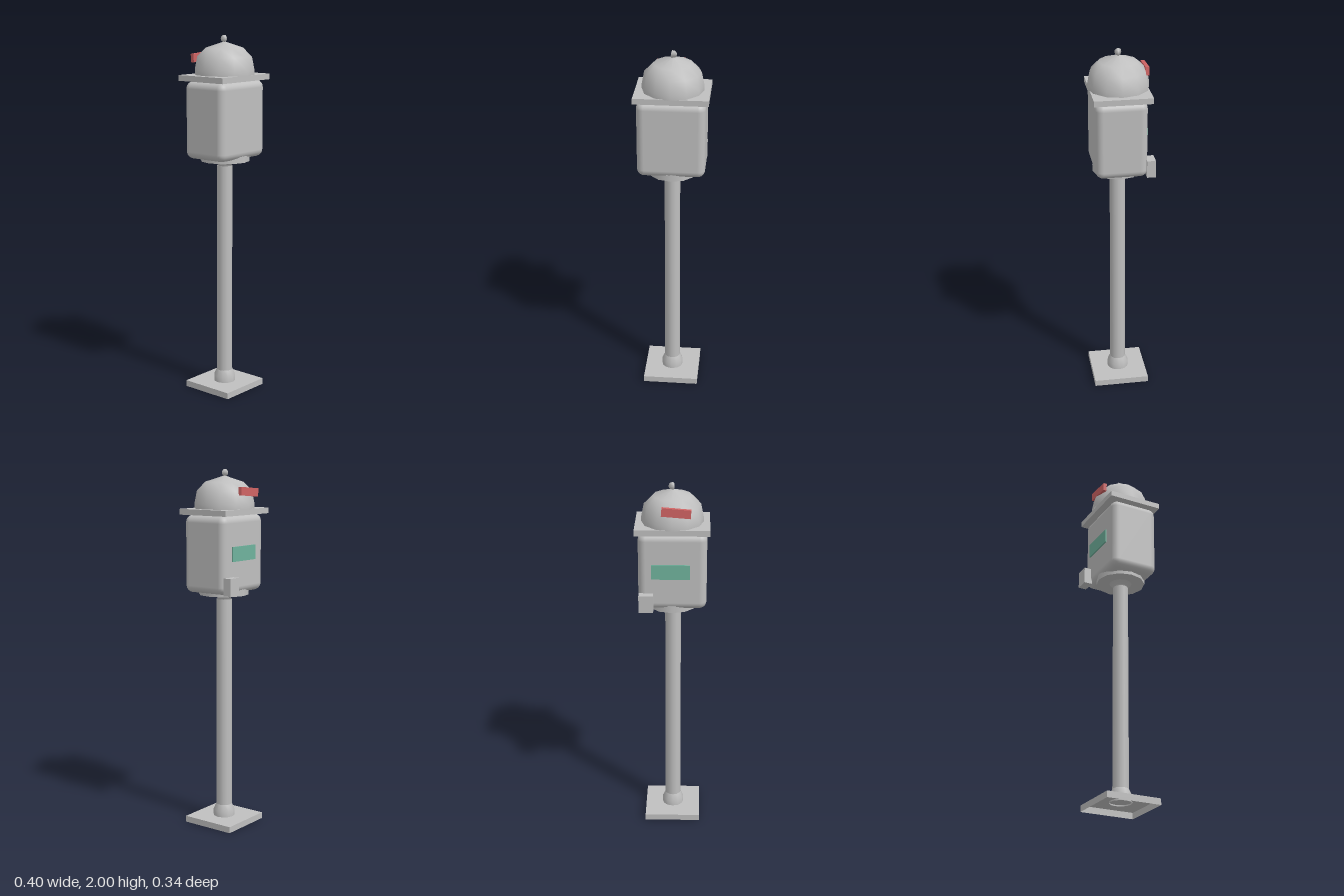
import * as THREE from 'three';
import { RoundedBoxGeometry } from 'three/addons/geometries/RoundedBoxGeometry.js';

export function createModel() {
  const root = new THREE.Group();
  root.name = 'parkingMeter';

  const grey = new THREE.MeshStandardMaterial({ color: 0xbfbfbf, side: THREE.DoubleSide });
  grey.name = 'grey metal';
  const red = new THREE.MeshStandardMaterial({ color: 0xd06464 });
  red.name = 'red plastic';
  const green = new THREE.MeshStandardMaterial({ color: 0x70b39d });
  green.name = 'green screen';

  function add(name, geometry, material, x, y, z) {
    const mesh = new THREE.Mesh(geometry, material);
    mesh.name = name;
    mesh.position.set(x, y, z);
    root.add(mesh);
    return mesh;
  }

  // Box given by its limits on each axis
  function addBox(name, material, [x0, x1], [y0, y1], [z0, z1]) {
    return add(name, new THREE.BoxGeometry(x1 - x0, y1 - y0, z1 - z0), material,
      (x0 + x1) / 2, (y0 + y1) / 2, (z0 + z1) / 2);
  }

  // Turned part from [radius, height] pairs, listed from bottom to top
  function addTurned(name, profile, sides, x, z) {
    const points = profile.map(([r, y]) => new THREE.Vector2(r, y));
    return add(name, new THREE.LatheGeometry(points, sides), grey, x, 0, z);
  }

  // Hollow foot plate, open underneath
  const foot = addBox('footPlate', grey, [-0.158, 0.154], [0.002, 0.037], [-0.15, 0.162]);
  const index = Array.from(foot.geometry.index.array);
  index.splice(18, 6);
  foot.geometry.setIndex(index);
  foot.geometry.clearGroups();

  // Pole with its socket and neck
  const px = -0.003, pz = 0.007;
  addTurned('poleSocket', [[0.061, 0.03], [0.061, 0.07], [0.045, 0.105]], 12, px, pz);
  addTurned('pole', [[0.044, 0.07], [0.043, 1.29]], 12, px, pz);
  addTurned('poleNeck', [[0.035, 1.285], [0.04, 1.3], [0.066, 1.318]], 12, px, pz);
  add('collar', new THREE.CylinderGeometry(0.137, 0.137, 0.035, 12), grey, 0, 1.334, 0.008);

  // Rounded housing and square lid
  add('housing', new RoundedBoxGeometry(0.365, 0.422, 0.277, 3, 0.04), grey, -0.002, 1.546, 0.008);
  addBox('lid', grey, [-0.199, 0.197], [1.758, 1.789], [-0.153, 0.159]);

  // Twelve-sided dome with a small knob
  addTurned('dome',
    [[0.165, 1.787], [0.165, 1.815], [0.151, 1.885], [0.104, 1.932], [0, 1.966]], 12, 0, 0.003);
  add('knobStem', new THREE.CylinderGeometry(0.008, 0.011, 0.03, 3), grey, 0, 1.963, 0.003);
  const knob = add('knob', new THREE.SphereGeometry(0.021, 3, 6), grey, 0, 1.98, 0.003);
  knob.rotation.y = Math.PI;

  // Fittings on the back
  const flag = addBox('flag', red, [-0.099, 0.055], [1.858, 1.903], [-0.153, -0.133]);
  flag.rotation.z = 0.08;
  addBox('screen', green, [-0.096, 0.11], [1.512, 1.592], [-0.138, -0.13]);
  addBox('lockBox', grey, [0.099, 0.177], [1.335, 1.43], [-0.172, -0.125]);

  return root;
}
